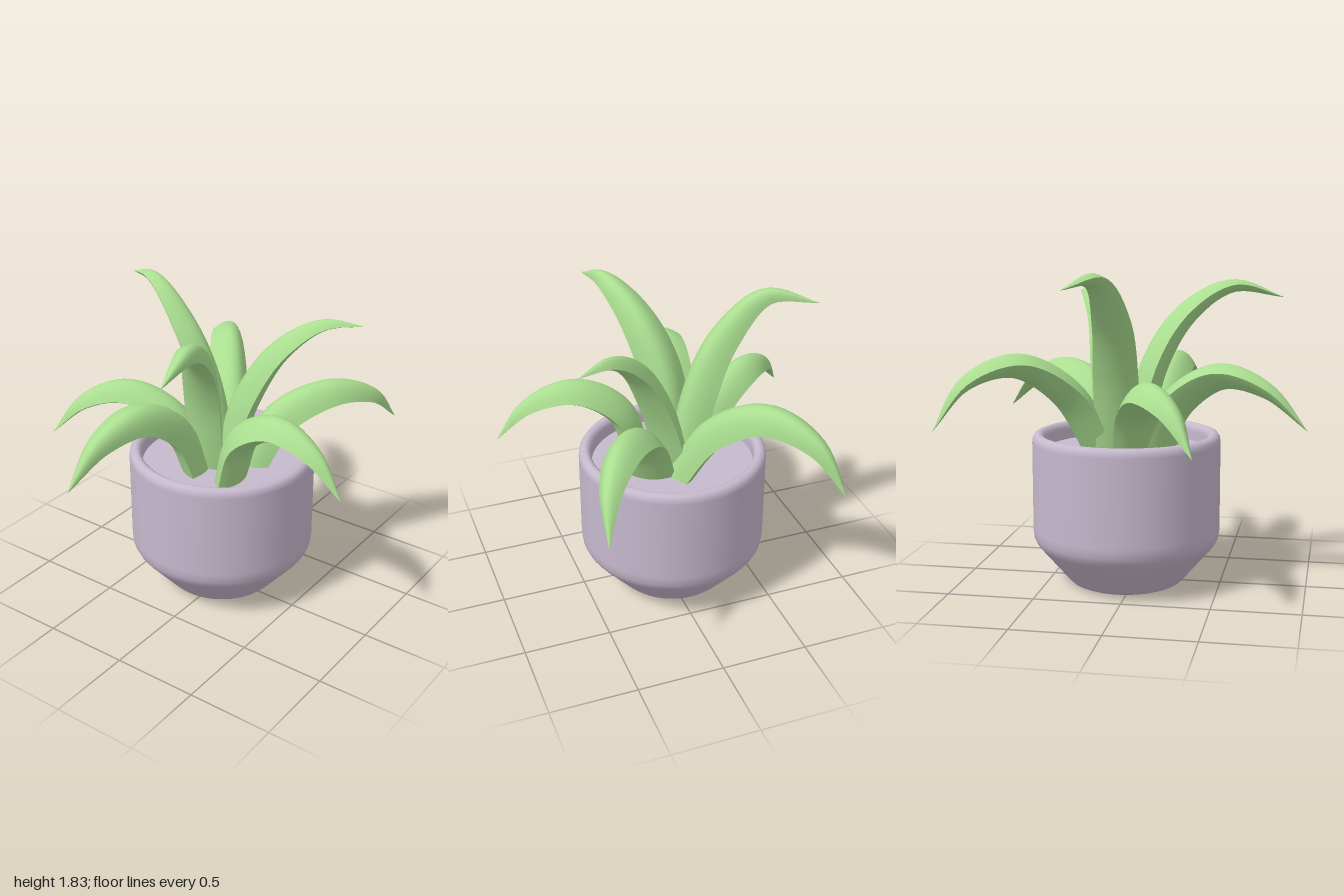
import * as THREE from 'three';

const potMat = new THREE.MeshStandardMaterial({ color: 0xc6b9cd });
const leafMat = new THREE.MeshStandardMaterial({ color: 0xaade90, side: THREE.DoubleSide });

const v2 = (pts) => pts.map(([x, y]) => new THREE.Vector2(x, y));

// Leaf swept along a spine: arched upper face, gently rounded underside, sharp edges
function leafGeometry(points, roll) {
  const spine = new THREE.CatmullRomCurve3(points.map((p) => new THREE.Vector3(...p)));
  const rows = 32, cols = 10;
  const dir = spine.getPoint(1).sub(spine.getPoint(0)).setY(0).normalize();
  const across = dir.cross(new THREE.Vector3(0, 1, 0));
  const pos = [], index = [];
  for (const face of [1, -1]) {
    const start = pos.length / 3;
    for (let i = 0; i <= rows; i++) {
      const t = i / rows;
      const centre = spine.getPointAt(t);
      const tangent = spine.getTangentAt(t);
      const side = across.clone().addScaledVector(tangent, -across.dot(tangent)).normalize();
      const normal = side.clone().cross(tangent);
      side.applyAxisAngle(tangent, roll);
      normal.applyAxisAngle(tangent, roll);
      const size = Math.max(0, 1 - Math.pow(t, 2.7)) * (0.94 + 0.15 * Math.sin(Math.PI * t));
      for (let j = 0; j <= cols; j++) {
        const u = face * (2 * j / cols - 1);
        const arch = 1 - u * u;
        const h = -0.03 + arch * (face > 0 ? 0.115 : -0.04);
        const p = centre.clone().addScaledVector(side, 0.127 * u * size).addScaledVector(normal, h * size);
        pos.push(p.x, p.y, p.z);
        if (i < rows && j < cols) {
          const a = start + i * (cols + 1) + j, c = a + cols + 1;
          index.push(a, a + 1, c, a + 1, c + 1, c);
        }
      }
    }
  }
  const g = new THREE.BufferGeometry();
  g.setAttribute('position', new THREE.Float32BufferAttribute(pos, 3));
  g.setIndex(index);
  g.computeVertexNormals();
  return g;
}

export function createModel() {
  const model = new THREE.Group();

  // Pot: tapered foot, straight wall, rounded rim, inner wall
  const pot = new THREE.Mesh(new THREE.LatheGeometry(v2([
    [0, 0], [0.27, 0], [0.3, 0.003], [0.325, 0.015], [0.345, 0.035],
    [0.36, 0.052], [0.505, 0.222], [0.525, 0.248], [0.54, 0.28], [0.545, 0.32],
    [0.545, 0.34], [0.545, 0.84], [0.542, 0.865], [0.53, 0.884], [0.51, 0.892],
    [0.495, 0.889], [0.48, 0.878], [0.473, 0.86], [0.472, 0.84], [0.472, 0.74],
  ]), 64), potMat);
  pot.name = 'pot';
  pot.position.set(0.05, 0, -0.05);
  model.add(pot);

  const soil = new THREE.Mesh(new THREE.CircleGeometry(0.475, 64).rotateX(-Math.PI / 2), potMat);
  soil.name = 'soil';
  soil.position.set(0.05, 0.79, -0.05);
  model.add(soil);

  // Leaves: roll about the spine, and spine points from soil to tip
  const leaves = [
    ['backLeftLeaf', 0.4, [[0.18, 0.75, -0.04], [0.35, 1.12, -0.2], [0.6, 1.3, -0.39], [0.84, 1.22, -0.57], [1, 0.97, -0.68]]],
    ['frontLeftLeaf', 0.2, [[0.13, 0.75, 0.08], [0.26, 1.07, 0.21], [0.5, 1.19, 0.4], [0.74, 1.12, 0.55], [0.93, 0.92, 0.62]]],
    ['tallFrontLeaf', 0, [[0.11, 0.75, -0.06], [0.15, 1.2, 0.07], [0.23, 1.5, 0.23], [0.36, 1.655, 0.42], [0.47, 1.66, 0.62]]],
    ['frontLeaf', 0, [[-0.12, 0.75, 0.11], [-0.13, 1.08, 0.22], [-0.16, 1.235, 0.47], [-0.2, 1.17, 0.73], [-0.23, 0.97, 0.92]]],
    ['tallRightLeaf', -0.4, [[-0.01, 0.75, -0.1], [-0.12, 1.28, -0.05], [-0.29, 1.57, 0.04], [-0.54, 1.725, 0.15], [-0.83, 1.66, 0.21]]],
    ['rightLeaf', -0.5, [[-0.11, 0.75, -0.12], [-0.24, 1.07, -0.16], [-0.5, 1.245, -0.21], [-0.77, 1.18, -0.27], [-1, 0.97, -0.31]]],
    ['backLeaf', 0, [[0, 0.75, -0.18], [-0.06, 1.05, -0.33], [-0.17, 1.18, -0.57], [-0.32, 1.12, -0.77], [-0.45, 0.92, -0.93]]],
    ['tallBackLeaf', 0.5, [[0.1, 0.75, -0.08], [0.09, 1.25, -0.19], [0.085, 1.55, -0.33], [0.12, 1.785, -0.57], [0.24, 1.75, -0.84]]],
  ];
  for (const [name, roll, points] of leaves) {
    const leaf = new THREE.Mesh(leafGeometry(points, roll), leafMat);
    leaf.name = name;
    model.add(leaf);
  }
  return model;
}
